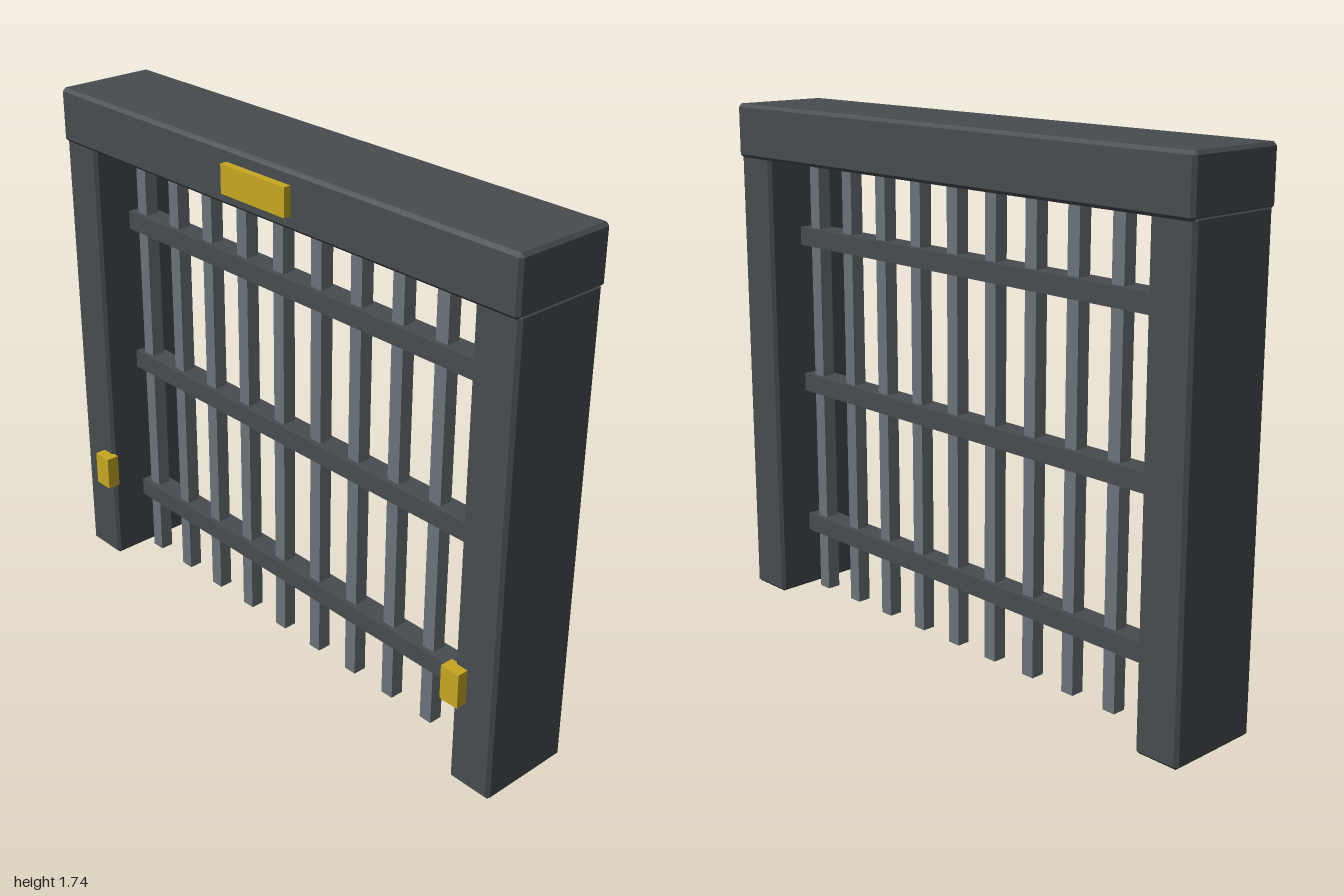
import * as THREE from 'three';
import { ConvexGeometry } from 'three/addons/geometries/ConvexGeometry.js';

const frameIron = new THREE.MeshStandardMaterial({ name: 'frameIron', color: 0x464c50 });
const barSteel = new THREE.MeshStandardMaterial({ name: 'barSteel', color: 0x6a737a });
const brass = new THREE.MeshStandardMaterial({ name: 'brass', color: 0xc8a722 });

// Box with flat chamfers: each corner is cut into three points
function chamferedBox(w, h, d, c) {
  const points = [];
  for (const x of [-1, 1]) for (const y of [-1, 1]) for (const z of [-1, 1]) {
    for (let face = 0; face < 3; face++) {
      points.push(new THREE.Vector3(
        x * (w / 2 - (face === 0 ? 0 : c)),
        y * (h / 2 - (face === 1 ? 0 : c)),
        z * (d / 2 - (face === 2 ? 0 : c))
      ));
    }
  }
  return new ConvexGeometry(points);
}

export function createModel() {
  const model = new THREE.Group();
  model.name = 'barredGate';
  const midZ = -0.013;

  function add(name, geometry, material, x, y, z) {
    const mesh = new THREE.Mesh(geometry, material);
    mesh.name = name;
    mesh.position.set(x, y, z);
    model.add(mesh);
  }

  // Frame: lintel over two posts
  add('lintel', chamferedBox(1.996, 0.182, 0.352, 0.011), frameIron, 0, 1.647, midZ);
  const post = chamferedBox(0.158, 1.57, 0.33, 0.011);
  const latch = new THREE.BoxGeometry(0.07, 0.118, 0.045);
  for (const [side, s] of [['left', 1], ['right', -1]]) {
    add(side + 'Post', post, frameIron, s * 0.919, 0.785, midZ);
    add(side + 'Latch', latch, brass, s * 0.857, 0.361, 0.1675);
  }

  // Upright bars
  const bar = new THREE.BoxGeometry(0.047, 1.528, 0.047);
  for (let i = 0; i < 10; i++) {
    add('uprightBar' + (i + 1), bar, barSteel, -0.786 + i * 0.1738, 0.764, midZ);
  }

  // Cross rails holding the bars
  const rail = new THREE.BoxGeometry(1.7, 0.063, 0.08);
  [0.242, 0.765, 1.287].forEach((y, i) => {
    add('crossRail' + (i + 1), rail, frameIron, 0, y, midZ);
  });

  // Blank plate on the lintel
  add('lintelPlate', new THREE.BoxGeometry(0.283, 0.093, 0.035), brass, -0.002, 1.648, 0.17);

  return model;
}
